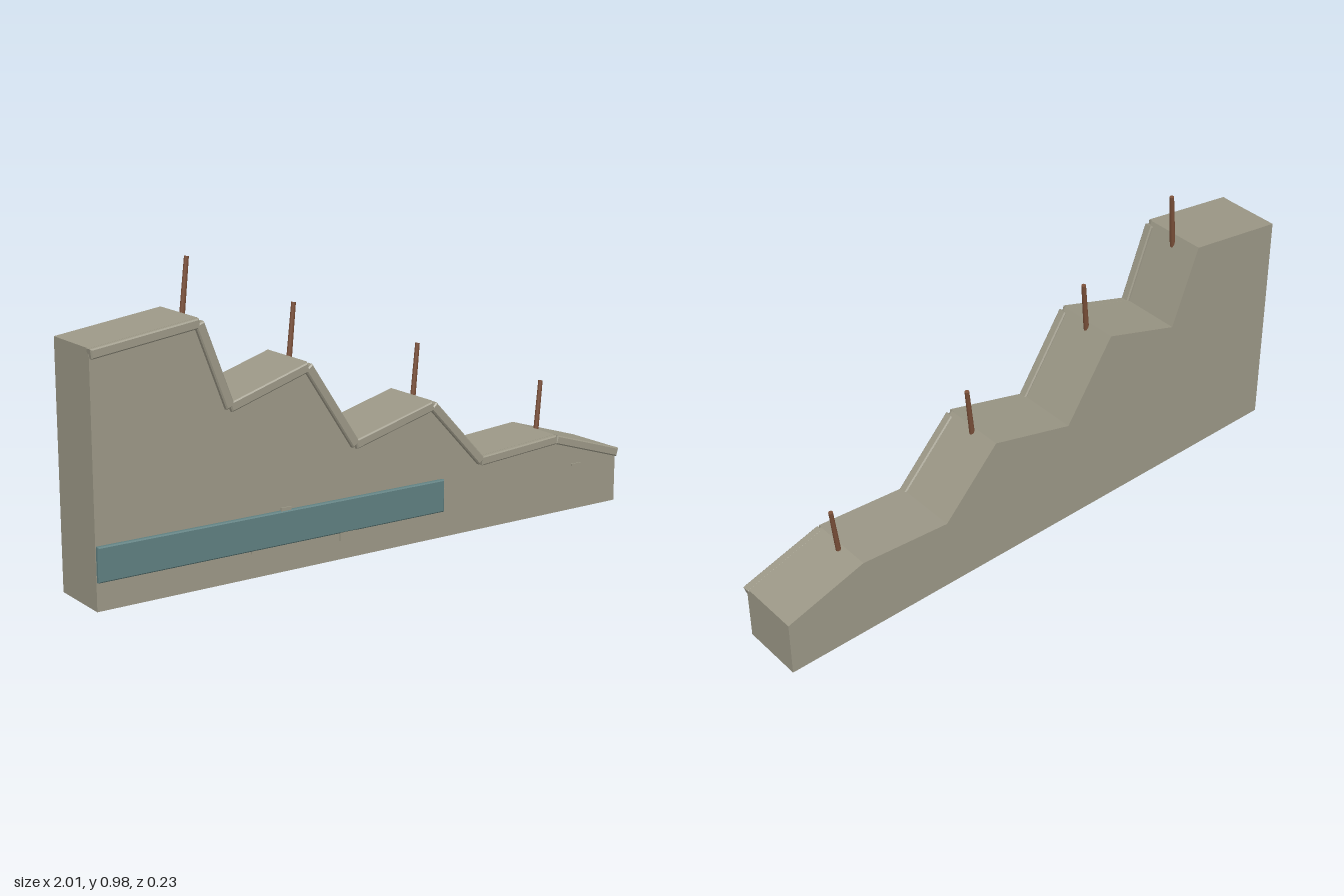
import * as THREE from 'three';

export function createModel() {
  const model = new THREE.Group();
  model.name = 'steppedEmbankment';

  const stone = new THREE.MeshStandardMaterial({ color: 0x9b9786 });
  stone.name = 'stone';
  const teal = new THREE.MeshStandardMaterial({ color: 0x5f7f80 });
  teal.name = 'teal';
  const wood = new THREE.MeshStandardMaterial({ color: 0x7b5039 });
  wood.name = 'wood';

  const add = (name, geometry, material, x = 0, y = 0, z = 0) => {
    const mesh = new THREE.Mesh(geometry, material);
    mesh.name = name;
    mesh.position.set(x, y, z);
    model.add(mesh);
    return mesh;
  };

  // Box with chamfered front and back edges, centred on the origin
  const chamferedBox = (w, h, d, c) => {
    const a = w / 2 - c, b = h / 2 - c;
    const shape = new THREE.Shape([[-a, -b], [a, -b], [a, b], [-a, b]].map(([x, y]) => new THREE.Vector2(x, y)));
    return new THREE.ExtrudeGeometry(shape, {
      depth: d - 2 * c, bevelEnabled: true, bevelSize: c, bevelThickness: c, bevelSegments: 1,
    }).translate(0, 0, -d / 2 + c);
  };

  // Sawtooth skyline, left to right
  const skyline = [
    [-1, 0.773], [-0.65, 0.823], [-0.55, 0.56], [-0.275, 0.648], [-0.1, 0.38],
    [0.2, 0.463], [0.4, 0.25], [0.72, 0.275], [1, 0.19],
  ].map(([x, y]) => new THREE.Vector2(x, y));

  // Main body
  const outline = new THREE.Shape([new THREE.Vector2(-1, 0), new THREE.Vector2(1, 0), ...skyline.slice().reverse()]);
  add('body', new THREE.ExtrudeGeometry(outline, { depth: 0.217, bevelEnabled: false }), stone, 0, 0, -0.116);

  // Chamfered coping along the front edge of the skyline
  for (let i = 0; i < skyline.length - 1; i++) {
    const a = skyline[i], b = skyline[i + 1];
    const rim = add('coping', chamferedBox(a.distanceTo(b), 0.03, 0.03, 0.004), stone,
      (a.x + b.x) / 2, (a.y + b.y) / 2 - 0.0155, 0.102);
    rim.rotation.z = Math.atan2(b.y - a.y, b.x - a.x);
  }

  // Band across the lower front
  add('band', chamferedBox(1.245, 0.108, 0.017, 0.004), teal, -0.3775, 0.144, 0.109);

  // Thin stone chips around the band: x, y, width, height, z
  for (const [x, y, w, h, z] of [
    [-0.36, 0.195, 0.036, 0.026, 0.112],
    [-0.475, 0.091, 0.02, 0.02, 0.112],
    [-0.132, 0.081, 0.06, 0.034, 0.113],
    [0.24, 0.15, 0.022, 0.03, 0.112],
    [0.82, 0.157, 0.04, 0.007, 0.103],
  ]) add('stoneChip', new THREE.BoxGeometry(w, h, 0.004), stone, x, y, z);

  // Leaning stakes, one on each crest
  for (const [x, top] of [[-0.612, 0.983], [-0.24, 0.808], [0.235, 0.625], [0.76, 0.434]]) {
    const tip = new THREE.Vector3(x, top, -0.021);
    const foot = new THREE.Vector3(x - 0.029, top - 0.2, -0.009);
    const axis = tip.clone().sub(foot);
    const stake = add('stake', new THREE.CylinderGeometry(0.0075, 0.009, axis.length(), 8), wood);
    stake.position.copy(foot).addScaledVector(axis, 0.5);
    stake.quaternion.setFromUnitVectors(new THREE.Vector3(0, 1, 0), axis.normalize());
  }

  return model;
}
